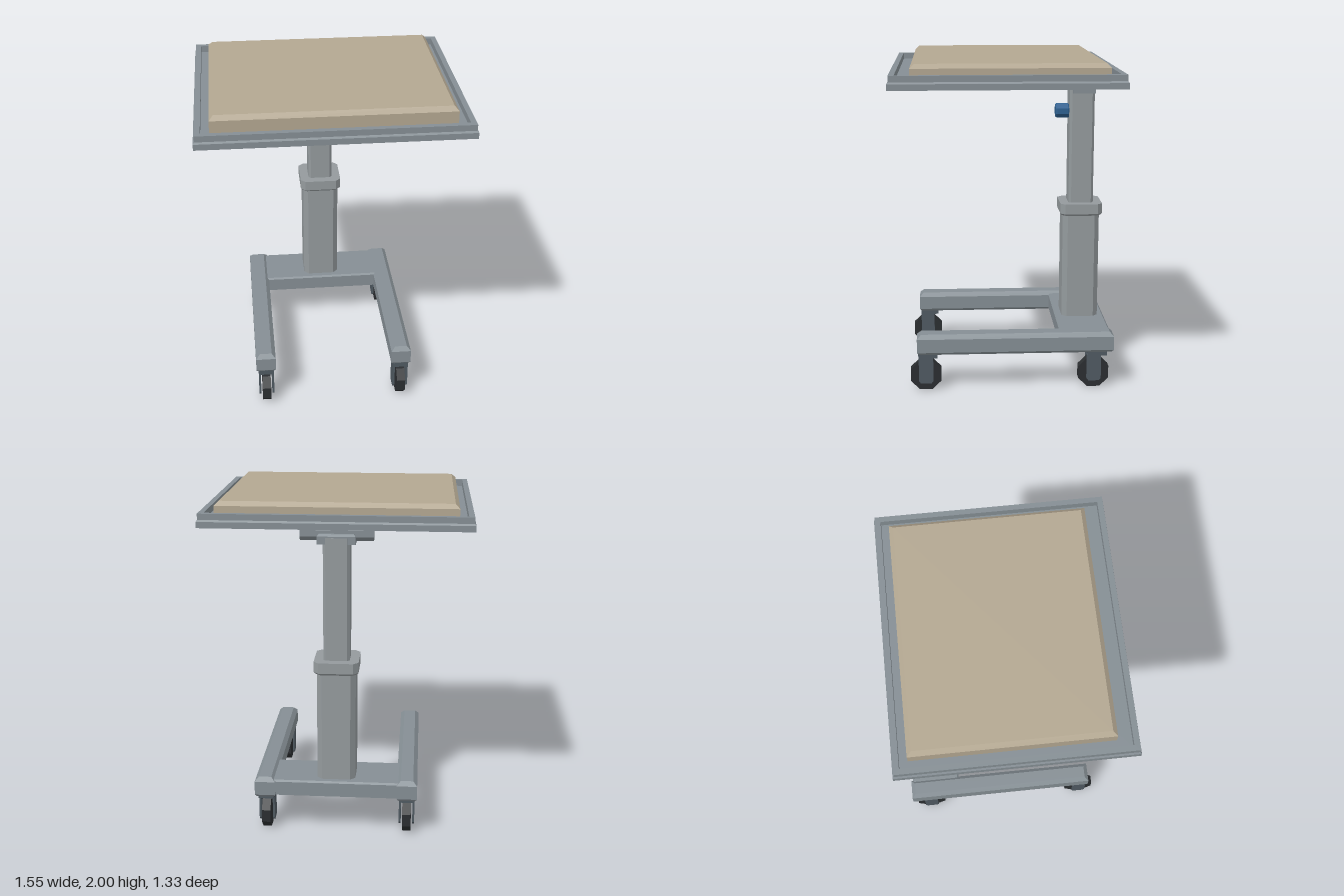
import * as THREE from 'three';

const mat = (color) => new THREE.MeshStandardMaterial({ color, flatShading: true });

// Rectangular ring with half sizes w, d and corner cut c, counter-clockwise from above
function ring(y, w, d, c) {
  const pts = c
    ? [[-w + c, d], [w - c, d], [w, d - c], [w, c - d], [w - c, -d], [c - w, -d], [-w, c - d], [-w, d - c]]
    : [[-w, d], [w, d], [w, -d], [-w, -d]];
  return pts.map(([x, z]) => [x, y, z]);
}

// Closed solid lofted through sections [y, halfWidth, halfDepth], bottom to top
function loft(sections, c = 0) {
  const rings = sections.map(([y, w, d]) => ring(y, w, d, c));
  const n = rings[0].length;
  const pos = [];
  const tri = (...p) => p.forEach((v) => pos.push(...v));
  for (let k = 0; k + 1 < rings.length; k++) {
    for (let i = 0; i < n; i++) {
      const j = (i + 1) % n;
      const a = rings[k], b = rings[k + 1];
      tri(a[i], a[j], b[j]);
      tri(a[i], b[j], b[i]);
    }
  }
  const low = rings[0], top = rings[rings.length - 1];
  for (let i = 1; i + 1 < n; i++) {
    tri(low[0], low[i + 1], low[i]);
    tri(top[0], top[i], top[i + 1]);
  }
  const g = new THREE.BufferGeometry();
  g.setAttribute('position', new THREE.Float32BufferAttribute(pos, 3));
  g.computeVertexNormals();
  return g;
}

export function createModel() {
  const model = new THREE.Group();
  const frame = mat(0x858e94);
  const post = mat(0x949a9d);
  const darkMetal = mat(0x505a62);
  const rubber = mat(0x2b2e31);
  const blue = mat(0x2d6090);
  const cushion = mat(0xb3a791);

  const add = (parent, name, geometry, material, x = 0, y = 0, z = 0) => {
    const m = new THREE.Mesh(geometry, material);
    m.name = name;
    m.position.set(x, y, z);
    parent.add(m);
    return m;
  };
  const postZ = -0.495;

  // Table top: stepped tray with a raised rim around a sunken floor
  add(model, 'tray', loft([
    [1.865, 0.775, 0.665], [1.9, 0.775, 0.665], [1.91, 0.767, 0.657],
    [1.945, 0.767, 0.657], [1.945, 0.735, 0.625], [1.905, 0.735, 0.625],
  ]), frame);
  add(model, 'pad', loft([
    [1.905, 0.687, 0.56], [1.975, 0.687, 0.56], [2.0, 0.662, 0.535],
  ]), cushion, 0, 0, -0.018);

  // Telescopic column
  add(model, 'lowerColumn', loft([[0.33, 0.114, 0.114], [1.01, 0.114, 0.114]], 0.03), post, 0, 0, postZ);
  add(model, 'collar', loft([
    [1.0, 0.122, 0.122], [1.012, 0.131, 0.131], [1.075, 0.131, 0.131],
  ], 0.03), post, 0, 0, postZ);
  add(model, 'upperColumn', loft([[1.07, 0.077, 0.077], [1.8, 0.077, 0.077]], 0.015), post, 0, 0, postZ);

  // Tilt hinge: bracket and octagonal bar under the tray
  add(model, 'hingeBracket', loft([
    [1.763, 0.11, 0.068], [1.808, 0.11, 0.068], [1.82, 0.1, 0.056],
  ]), frame, 0, 0, postZ - 0.008);
  const bar = new THREE.CylinderGeometry(0.048, 0.048, 0.42, 8).rotateY(Math.PI / 8).rotateZ(Math.PI / 2);
  add(model, 'hingeBar', bar, frame, 0, 1.82, postZ - 0.005);

  // Clamping knob
  const knobProfile = [[0, -0.043], [0.04, -0.043], [0.047, -0.034], [0.047, 0.034], [0.04, 0.043], [0, 0.043]]
    .map(([r, y]) => new THREE.Vector2(r, y));
  const knob = new THREE.LatheGeometry(knobProfile, 8).rotateY(Math.PI / 8).rotateX(Math.PI / 2);
  add(model, 'knob', knob, blue, 0, 1.647, -0.378);

  // U-shaped base
  add(model, 'crossPlate', loft([
    [0.245, 0.375, 0.155], [0.33, 0.375, 0.155], [0.34, 0.375, 0.145],
  ]), frame, 0, 0, postZ);
  const rail = loft([
    [0.23, 0.049, 0.585], [0.246, 0.061, 0.598], [0.33, 0.061, 0.598], [0.355, 0.037, 0.574],
  ]);
  const wheel = new THREE.CylinderGeometry(0.1, 0.1, 0.052, 8).rotateY(Math.PI / 8).rotateZ(Math.PI / 2);
  const cheek = loft([[0.045, 0.006, 0.032], [0.06, 0.006, 0.044], [0.215, 0.006, 0.044]]);
  const mount = loft([[0.205, 0.047, 0.058], [0.235, 0.047, 0.058]]);

  for (const side of [-1, 1]) {
    const x = side * 0.424;
    add(model, side > 0 ? 'leftRail' : 'rightRail', rail, frame, x, 0, -0.063);

    // Casters at both ends of the rail
    for (const [end, z, mountShift] of [['front', 0.482, -0.012], ['rear', -0.542, -0.022]]) {
      const caster = new THREE.Group();
      caster.name = end + (side > 0 ? 'LeftCaster' : 'RightCaster');
      caster.position.set(x, 0, z);
      add(caster, 'casterMount', mount, darkMetal, 0, 0, mountShift);
      add(caster, 'wheel', wheel, rubber, 0, 0.0925, 0);
      for (const s of [-1, 1]) add(caster, 'forkCheek', cheek, darkMetal, s * 0.041, 0, 0);
      model.add(caster);
    }
  }
  return model;
}
